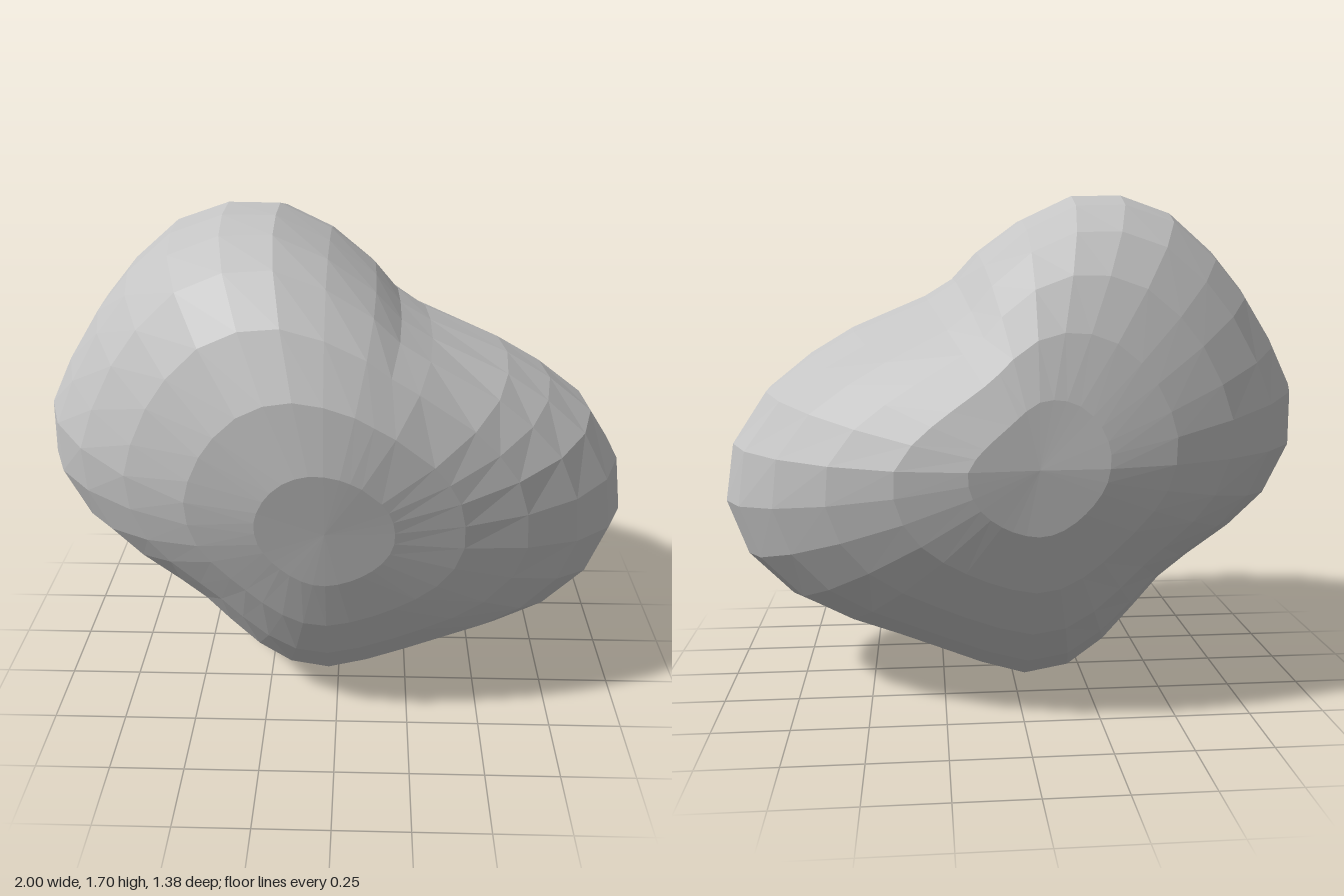
import * as THREE from 'three';

// Lobed outline of the boulder at its widest section, anticlockwise from the bottom
const OUTLINE = [
  [-0.03, 0], [0.13, 0.05], [0.29, 0.115], [0.43, 0.17], [0.6, 0.23], [0.78, 0.32], [0.93, 0.47],
  [1, 0.66], [0.97, 0.86], [0.86, 1.04], [0.71, 1.16], [0.56, 1.25], [0.3, 1.36],
  [0.2, 1.42], [0.12, 1.51], [-0.03, 1.62], [-0.2, 1.7], [-0.37, 1.7], [-0.54, 1.64],
  [-0.69, 1.51], [-0.8, 1.38], [-0.91, 1.21], [-0.99, 1.05], [-1, 0.86], [-0.91, 0.68],
  [-0.78, 0.56], [-0.62, 0.45], [-0.52, 0.37], [-0.43, 0.26], [-0.32, 0.13], [-0.19, 0.03],
];
const CX = -0.03, CY = 0.86, ROWS = 13, INNER_RADIUS = 0.86;

// Point on the surface: row runs from the front pole to the back pole
function surfacePoint(row, i) {
  const phi = (row / ROWS) * Math.PI;
  const s = Math.min(1, Math.sin(phi) / Math.sin((6 * Math.PI) / ROWS));
  const c = Math.cos(phi);
  const front = Math.max(0, c), back = Math.max(0, -c);
  const dx = OUTLINE[i][0] - CX, dy = OUTLINE[i][1] - CY;
  const r = Math.hypot(dx, dy);
  const nx = dx / r, ny = dy / r;
  const up = Math.max(0, ny), down = Math.max(0, -ny);
  // inner rings are rounder, the upper front is fuller
  const bulge = Math.min(1.12, 1 + 0.35 * s * front ** 2 * up);
  // the upper back leans towards the tall lobe
  const lean = 1 - (nx > 0 ? 0.36 : 0.14) * nx * up * back;
  const radius = s * (INNER_RADIUS + (r - INNER_RADIUS) * s) * bulge * lean;
  const x = nx * radius, y = ny * radius;
  // thickness varies by lobe and flattens towards the poles
  const depth = 0.705 + s * (0.045 * ny + nx * (0.015 + 0.03 * c) - 0.11 * down * back)
    - 0.02 * c - 0.035 * c * nx * nx * s - 0.02 * c ** 4;
  // slight skew of both broad faces and a shallow dimple at each pole
  const skew = 0.02 + c * c * (1 - s * s) * (0.13 * y - 0.09 * x);
  const dimple = 0.025 * Math.sign(c) * Math.exp(-s * s * 20);
  return [CX + x, CY + y, depth * c + skew - dimple];
}

function boulderGeometry() {
  const n = OUTLINE.length, positions = [], index = [];
  for (let row = 0; row <= ROWS; row++) {
    for (let i = 0; i < n; i++) positions.push(...surfacePoint(row, i));
  }
  for (let row = 0; row < ROWS; row++) {
    for (let i = 0; i < n; i++) {
      const j = (i + 1) % n;
      const a = row * n + i, b = row * n + j, c = a + n, d = b + n;
      if (row < ROWS - 1) index.push(a, c, d);
      if (row > 0) index.push(a, d, b);
    }
  }
  const indexed = new THREE.BufferGeometry();
  indexed.setAttribute('position', new THREE.Float32BufferAttribute(positions, 3));
  indexed.setIndex(index);
  // separate corners give faceted normals
  const geometry = indexed.toNonIndexed();
  geometry.computeVertexNormals();
  return geometry;
}

export function createModel() {
  const stone = new THREE.MeshStandardMaterial({ color: 0xc4c4c4 });
  stone.name = 'stoneGrey';
  const boulder = new THREE.Mesh(boulderGeometry(), stone);
  boulder.name = 'boulder';
  const group = new THREE.Group();
  group.name = 'rock';
  group.add(boulder);
  return group;
}
